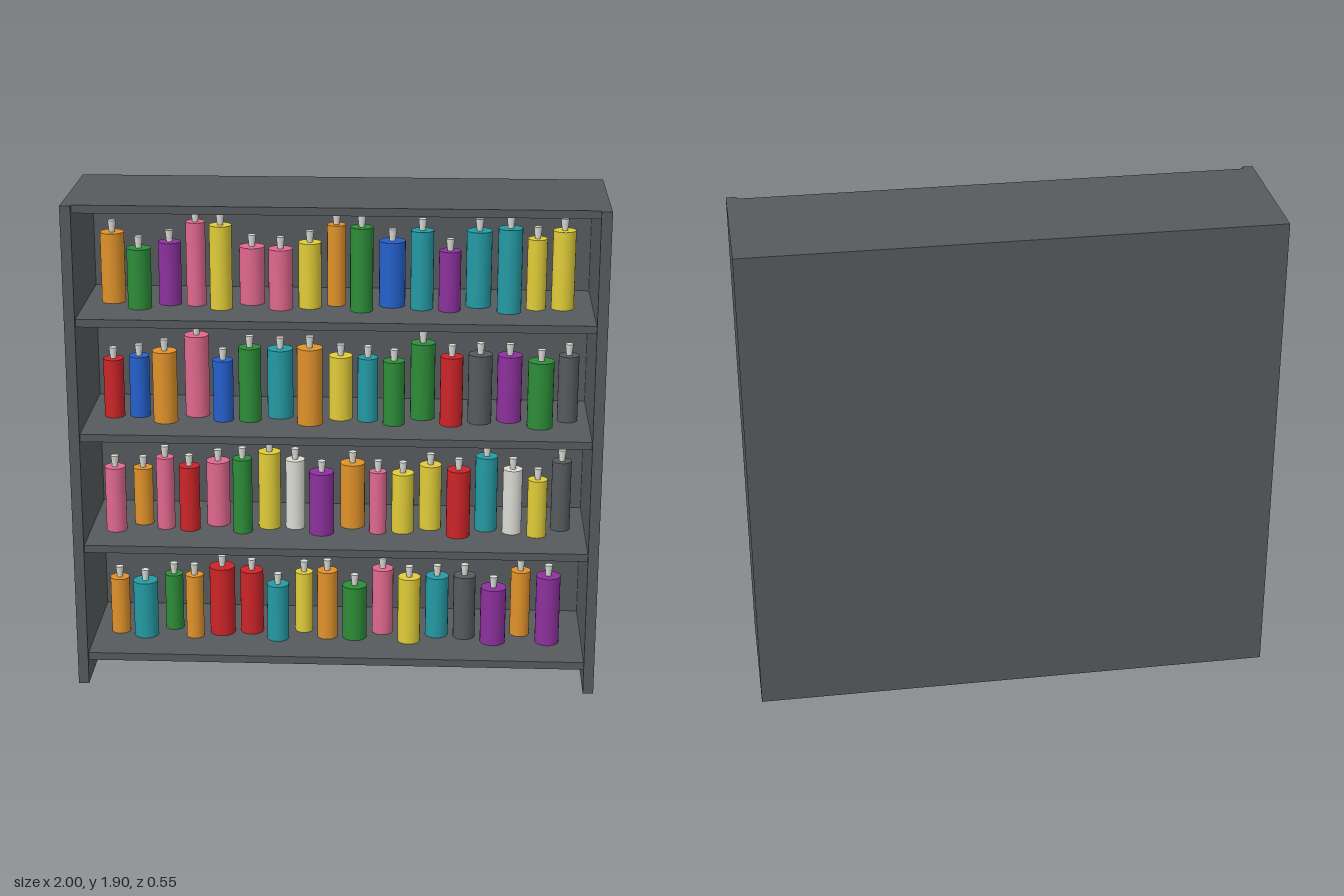
import * as THREE from 'three';

const colours = {
  D: ['darkGrey', 0x565a5c], O: ['orange', 0xe0922a], R: ['red', 0xcc2428],
  G: ['green', 0x2c8c38], B: ['blue', 0x2460cc], T: ['teal', 0x249aa4],
  P: ['purple', 0x8c309c], K: ['pink', 0xe0688e], Y: ['yellow', 0xe0cc38],
  W: ['white', 0xdcdcd6],
};

// Bottles on each shelf, bottom to top: colours, widths and heights in hundredths
const rows = [
  {
    bottles: 'OTGORRTYOGKYTDPOP',
    widths: [7.5, 9.6, 7.2, 7, 10, 9.1, 8.6, 7, 8, 9.5, 8.3, 8.8, 9, 8.6, 9.9, 7.7, 9.4],
    heights: [23, 23, 23, 26, 28, 26, 23, 25, 28, 22, 27, 27, 25, 26, 23, 27, 28],
  },
  {
    bottles: 'KOKRKGYWPOKYYRTWYD',
    widths: [8, 7.5, 7, 8, 9.1, 7.5, 8.6, 7.5, 9.6, 9.6, 6.6, 8.6, 8.6, 9.1, 8.6, 7.5, 7.5, 7.5],
    heights: [26, 23, 29, 26, 26, 30, 31, 28, 25, 26, 25, 24, 26, 27, 30, 26, 23, 28],
  },
  {
    bottles: 'RBOKBGTOYTGGRDPGD',
    widths: [7.8, 7.8, 9.4, 9.4, 7.8, 8.6, 9.9, 9.8, 9.1, 7.8, 8.3, 9.4, 8.6, 9.1, 9.4, 9.8, 7.8],
    heights: [23, 24, 28, 32, 24, 29, 27, 30, 25, 25, 25, 30, 27, 27, 26, 26, 26],
  },
  {
    bottles: 'OGPKYKKYOGBTPTTYY',
    widths: [9.1, 9.1, 8.6, 7.4, 8.4, 9.6, 9.1, 8.6, 7, 8.6, 9.9, 8.6, 8.2, 9.6, 9.1, 7.4, 8.6],
    heights: [27, 23, 24, 32, 32, 22, 23, 25, 31, 32, 25, 30, 23, 29, 32, 27, 30],
  },
];

export function createModel() {
  const model = new THREE.Group();
  model.name = 'bottleShelf';
  const mats = {};
  for (const key in colours) {
    mats[key] = new THREE.MeshStandardMaterial({ color: colours[key][1] });
    mats[key].name = colours[key][0];
  }
  const add = (parent, name, geometry, mat, x, y, z) => {
    const mesh = new THREE.Mesh(geometry, mat);
    mesh.name = name;
    mesh.position.set(x, y, z);
    parent.add(mesh);
  };

  // Case: full-depth sides, back panel and set-back boards
  const H = 1.9, D = 0.548, side = 0.04, board = 0.03;
  const boardDepth = 0.5, boardZ = 0.006;
  const boardGeo = new THREE.BoxGeometry(2 - 2 * side, board, boardDepth);
  for (const s of [-1, 1]) {
    add(model, s > 0 ? 'leftSide' : 'rightSide', new THREE.BoxGeometry(side, H, D), mats.D, s * (1 - side / 2), H / 2, 0);
  }
  add(model, 'backPanel', new THREE.BoxGeometry(2 - 2 * side, H, board), mats.D, 0, H / 2, -D / 2 + board / 2);
  add(model, 'topBoard', boardGeo, mats.D, 0, H - board / 2, boardZ);

  // Shelves, each with a row of bottles set side by side
  const gap = 0.02, capHeight = 0.044;
  const capGeo = new THREE.CylinderGeometry(0.016, 0.011, capHeight, 16);
  rows.forEach((row, i) => {
    const top = 0.122 + i * 0.449;
    add(model, 'shelf', boardGeo, mats.D, 0, top - board / 2, boardZ);
    let edge = -0.9;
    row.widths.forEach((width, j) => {
      const r = width / 200, h = row.heights[j] / 100;
      const bottle = new THREE.Group();
      bottle.name = 'bottle';
      // Bottles stand a little unevenly from front to back
      bottle.position.set(edge + r, top, 0.03 + 0.045 * Math.sin(j * 2.4 + i * 1.7));
      add(bottle, 'bottleBody', new THREE.CylinderGeometry(r, r, h, 24), mats[row.bottles[j]], 0, h / 2, 0);
      add(bottle, 'bottleCap', capGeo, mats.W, 0, h + capHeight / 2, 0);
      model.add(bottle);
      edge += 2 * r + gap;
    });
  });
  return model;
}
